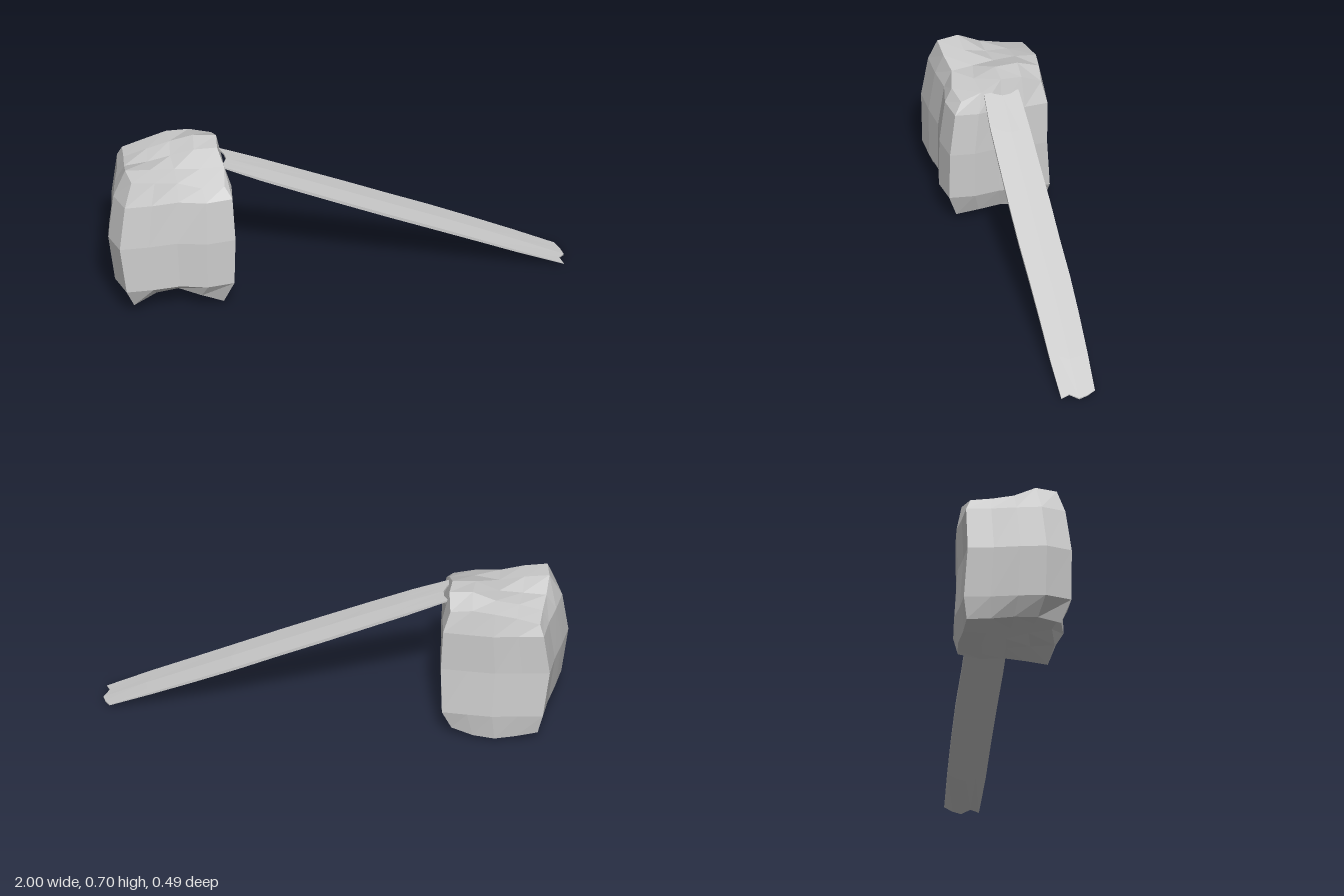
import * as THREE from 'three';

const material = () => new THREE.MeshStandardMaterial({ color: 0xcccccc, flatShading: true });

// Linear lookup in evenly spaced samples, t from 0 to 1
function sample(list, t) {
  const f = Math.min(Math.max(t, 0), 1) * (list.length - 1);
  const i = Math.min(Math.floor(f), list.length - 2);
  return THREE.MathUtils.lerp(list[i], list[i + 1], f - i);
}

// Lookup in a small height grid, rows running from back to front
const sampleGrid = (rows, u, w) => sample(rows.map((row) => sample(row, u)), w);

// Unit box whose vertices (each coordinate 0..1) are moved by a rule
function shapedBox(name, sx, sy, sz, rule) {
  const geometry = new THREE.BoxGeometry(1, 1, 1, sx, sy, sz);
  const p = geometry.attributes.position;
  for (let i = 0; i < p.count; i++) {
    p.setXYZ(i, ...rule(p.getX(i) + 0.5, p.getY(i) + 0.5, p.getZ(i) + 0.5));
  }
  geometry.computeVertexNormals();
  const mesh = new THREE.Mesh(geometry, material());
  mesh.name = name;
  return mesh;
}

// Side outlines of the block, from bottom to top
const LEFT = [-0.905, -0.955, -0.985, -0.96, -0.915];
const RIGHT = [-0.5, -0.46, -0.455, -0.465, -0.495];
const BACK = [-0.22, -0.235, -0.222, -0.226, -0.205];
const FRONT = [0.195, 0.235, 0.233, 0.208, 0.175];
const BOW = [0.4, 1, 1, 1, 0.4];

// Heights of the block's top and underside
const TOP = [
  [0.605, 0.635, 0.66, 0.668, 0.65],
  [0.615, 0.645, 0.668, 0.7, 0.692],
  [0.63, 0.64, 0.655, 0.688, 0.687],
  [0.668, 0.658, 0.645, 0.65, 0.645],
  [0.662, 0.65, 0.632, 0.612, 0.602],
];
const BASE = [
  [0.045, 0.025, 0.015, 0.022, 0.05],
  [0.05, 0.025, 0.01, 0.018, 0.037],
  [0.06, 0.05, 0.045, 0.045, 0.043],
  [0.06, 0.075, 0.08, 0.065, 0.043],
  [0.045, 0.1, 0.105, 0.075, 0.026],
];

function blockRule(u, v, w) {
  const y = sample([sampleGrid(BASE, u, w), 0.14, 0.36, 0.555, sampleGrid(TOP, u, w)], v);
  const bow = sample(BOW, v);
  // Skewed left side, hollow right side and front, eased corners
  const left = sample(LEFT, v) + bow * sample([0.045, 0.03, 0.005, -0.015, 0.02], w);
  const right = sample(RIGHT, v) + sample([-0.015, -0.006, -0.014, 0.004, -0.006], w);
  const back = sample(BACK, v) + sample([0.005, 0, -0.01, 0, 0.012], u);
  const front = sample(FRONT, v) + sample([-0.002, -0.005, -0.018, 0.006, -0.012], u);
  return [THREE.MathUtils.lerp(left, right, u), y, THREE.MathUtils.lerp(back, front, w)];
}

// Thin plank with uneven long edges and ragged ends
const PLANK_BACK = [-0.088, -0.094, -0.096, -0.1, -0.1, -0.103, -0.1, -0.094, -0.085];
const PLANK_FRONT = [0.062, 0.075, 0.078, 0.08, 0.08, 0.076, 0.074, 0.074, 0.068];
const START = [-0.495, -0.475, -0.47, -0.485, -0.525];
const END = [0.965, 0.985, 0.995, 0.97, 0.985];
const THICK = [0.012, 0.022, 0.025, 0.025, 0.025, 0.025, 0.022, 0.017, 0.006];

function plankRule(u, v, w) {
  const x = THREE.MathUtils.lerp(sample(START, w), sample(END, w), u);
  const edge = 1 - 0.4 * Math.abs(2 * w - 1);
  const y = 0.425 - 0.4225 * x + (v - 0.5) * sample(THICK, u) * edge;
  return [x, y, THREE.MathUtils.lerp(sample(PLANK_BACK, u), sample(PLANK_FRONT, u), w)];
}

export function createModel() {
  const model = new THREE.Group();
  model.name = 'stoneAndPlank';
  model.add(shapedBox('stoneBlock', 4, 4, 4, blockRule));
  model.add(shapedBox('leaningPlank', 8, 1, 4, plankRule));
  return model;
}
